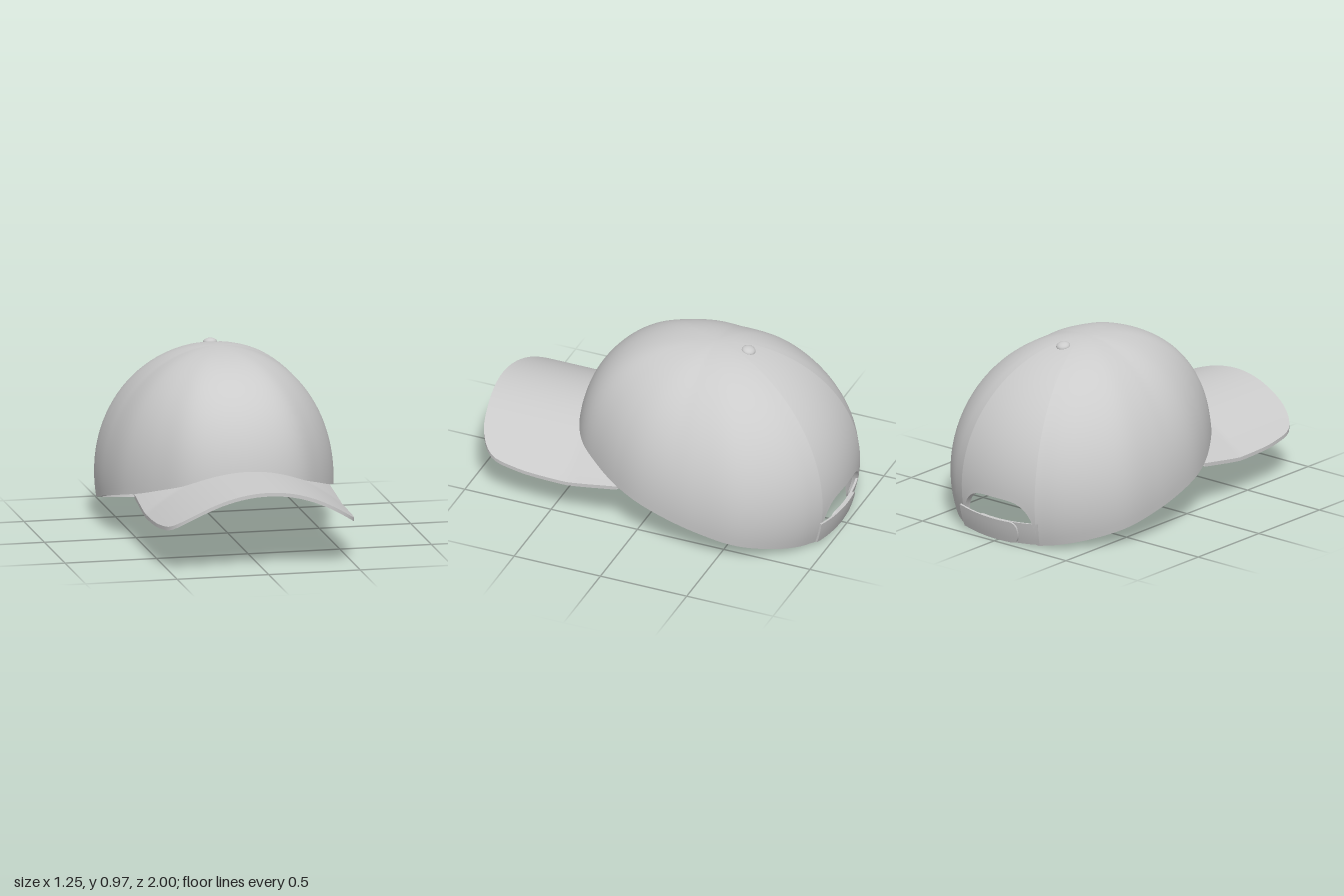
import * as THREE from 'three';
import { mergeGeometries, mergeVertices } from 'three/addons/utils/BufferGeometryUtils.js';

const CENTRE_Z = -0.25, WIDEST_Y = 0.25, DOME = 0.725, WALL = 0.022, GAP = 0.255;
const material = new THREE.MeshStandardMaterial({ color: 0xcccccc, side: THREE.DoubleSide });

// Smooth grid surface from fn(u, v) -> [x, y, z]
function patch(fn, nu, nv) {
  const pos = [], idx = [];
  for (let j = 0; j <= nv; j++)
    for (let i = 0; i <= nu; i++) pos.push(...fn(i / nu, j / nv));
  for (let j = 0; j < nv; j++)
    for (let i = 0; i < nu; i++) {
      const a = j * (nu + 1) + i, d = a + nu + 1;
      idx.push(a, a + 1, d + 1, a, d + 1, d);
    }
  let g = new THREE.BufferGeometry();
  g.setAttribute('position', new THREE.Float32BufferAttribute(pos, 3));
  g.setIndex(idx);
  g = mergeVertices(g, 1e-5);
  g.computeVertexNormals();
  return g;
}

// Solid sheet: fn(u, v, s) runs from the outer face (s = 0) to the inner face (s = 1)
function sheet(name, fn, nu, nv, closed = false) {
  const parts = [
    patch((u, v) => fn(u, v, 0), nu, nv),
    patch((u, v) => fn(1 - u, v, 1), nu, nv),
    patch((u, s) => fn(u, 0, 1 - s), nu, 1),
    patch((u, s) => fn(u, 1, s), nu, 1),
  ];
  if (!closed) parts.push(
    patch((s, v) => fn(0, v, 1 - s), 1, nv),
    patch((s, v) => fn(1, v, s), 1, nv));
  const mesh = new THREE.Mesh(mergeGeometries(parts), material);
  mesh.name = name;
  return mesh;
}

// Mirrored plan curve from -x to +x; points are listed from the middle outwards
function symmetricCurve(points) {
  const right = points.map(([x, z]) => new THREE.Vector3(x, 0, z));
  const left = right.slice(1).reverse().map(p => new THREE.Vector3(-p.x, 0, p.z));
  return new THREE.CatmullRomCurve3([...left, ...right]);
}

const backZ = x => -1 + 0.5 * x * x;

// Point on the crown above a plan position, at height y, inset from the outside
function crownPoint(x, z, y, inset) {
  const h = Math.min(1, (y - WIDEST_Y) / (DOME - inset));
  const p = 2 + 0.45 * Math.max(0, (z - CENTRE_Z) / 0.75);
  const r = Math.hypot(x, z - CENTRE_Z);
  const f = Math.pow(Math.max(0, 1 - Math.pow(Math.abs(h), p)), 1 / p) * (1 - inset / r);
  return [x * f, y, CENTRE_Z + (z - CENTRE_Z) * f];
}

// Height rules for the brim, the lower rim and the sweatband
const brimY = (x, z) => 0.45 - 0.78 * x * x + 0.04 * THREE.MathUtils.clamp((0.4 - z) / 0.3, 0, 1);
const tiltY = z => 0.27 + 0.241 * (z - 0.11);

function rimY(x, z) {
  if (z > 0.11) return Math.max(brimY(x, z) - 0.02, 0.25);
  const k = Math.abs(x) / GAP;
  if (z < -0.9 && k < 1) return Math.max(tiltY(z), 0.02 + 0.23 * Math.sqrt(1 - k ** 4));
  return tiltY(z);
}

function bandTopY(x, z) {
  let top = Math.max(tiltY(z) + 0.19, rimY(x, z) + 0.08);
  if (z < -0.85) top = Math.max(top, 0.33 - 1.5 * Math.max(0, Math.abs(x) - 0.22));
  return top;
}

// Adjustment strap that follows the crown, with a rounded free end
function strap(name, side, inset) {
  const start = 0.268, length = start + 0.145, round = 0.055;
  return sheet(name, (u, v, s) => {
    const a = side > 0 ? u : 1 - u;
    const along = length * Math.sin(a * Math.PI / 2);
    const x = side * (start - along);
    const t = Math.max(0, (along - length + round) / round);
    const half = 0.0625 * Math.pow(Math.max(0, 1 - t ** 2.5), 0.4);
    const y = 0.067 + 0.2 * x * x + half * (2 * v - 1);
    return crownPoint(x, backZ(x), y, inset + 0.012 * s);
  }, 36, 4);
}

export function createModel() {
  const cap = new THREE.Group();
  cap.name = 'cap';

  // Plan outline: round the front, then finely across the back opening
  const outline = symmetricCurve([
    [0, 0.505], [0.2, 0.472], [0.33, 0.4], [0.45, 0.25], [0.535, 0.1], [0.585, -0.03],
    [0.615, -0.2], [0.622, -0.38], [0.593, -0.6], [0.49, -0.78], [0.37, -0.9], [GAP, backZ(GAP)],
  ]);
  const plan = outline.getSpacedPoints(96).map(p => [p.x, p.z]);
  for (let i = 1; i <= 32; i++) {
    const x = GAP * Math.cos(Math.PI * i / 32);
    plan.push([x, backZ(x)]);
  }
  const n = plan.length - 1;
  const column = u => plan[Math.round(u * n)];

  // Crown shell
  cap.add(sheet('crown', (u, v, s) => {
    const [x, z] = column(u), inset = WALL * s, H = DOME - inset;
    const low = Math.asin((rimY(x, z) - WIDEST_Y) / H);
    const y = WIDEST_Y + H * Math.sin(THREE.MathUtils.lerp(low, Math.PI / 2, v));
    return crownPoint(x, z, y, inset);
  }, n, 30, true));

  // Sweatband lining the rim and the opening
  cap.add(sheet('sweatband', (u, v, s) => {
    const [x, z] = column(u);
    const y = THREE.MathUtils.lerp(rimY(x, z), bandTopY(x, z), v);
    return crownPoint(x, z, y, WALL + 0.008 * s);
  }, n, 6, true));

  // Arched brim, spanning from the crown wall to its rounded outer edge
  const inner = symmetricCurve([[0, 0.505], [0.2, 0.472], [0.33, 0.4], [0.45, 0.25], [0.535, 0.1]]);
  const outer = symmetricCurve([
    [0, 0.995], [0.25, 0.972], [0.4, 0.932], [0.49, 0.855], [0.525, 0.7], [0.537, 0.4], [0.533, 0.11],
  ]);
  cap.add(sheet('brim', (u, v, s) => {
    const a = inner.getPointAt(1 - u), b = outer.getPointAt(1 - u);
    const foot = crownPoint(a.x, a.z, brimY(a.x, a.z), 0.014);
    const x = THREE.MathUtils.lerp(foot[0], b.x, v), z = THREE.MathUtils.lerp(foot[2], b.z, v);
    return [x, brimY(x, z) - 0.02 * s, z];
  }, 72, 14));

  // Overlapping straps across the opening
  cap.add(strap('outerStrap', 1, -0.012), strap('innerStrap', -1, 0));

  // Top button
  const button = new THREE.Mesh(new THREE.SphereGeometry(0.038, 24, 16), material);
  button.name = 'button';
  button.scale.y = 0.6;
  button.position.set(0, 0.952, -0.43);
  button.rotation.x = -0.2;
  cap.add(button);

  return cap;
}
